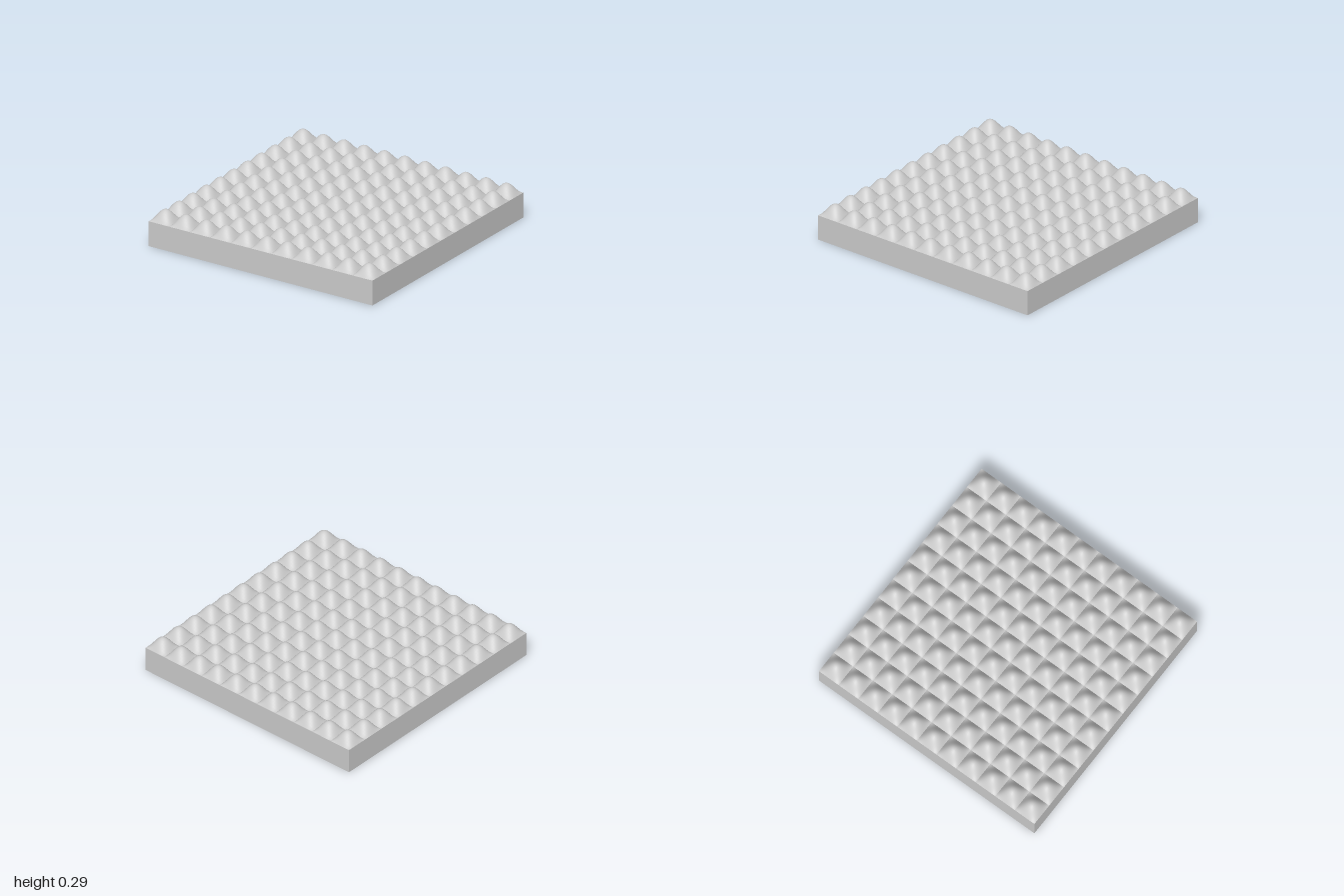
import * as THREE from 'three';

const COUNT = 11;          // bumps per side
const CELL = 2 / COUNT;    // width of one bump
const BASE = 0.2;          // slab height
const RISE = 0.088;        // bump height

// One rounded bump: a cosine dome that falls to zero along its square border
function bumpGeometry() {
  const geo = new THREE.PlaneGeometry(CELL, CELL, 14, 14).rotateX(-Math.PI / 2);
  const pos = geo.attributes.position;
  const wave = (v) => Math.cos((Math.PI * v) / CELL);
  for (let i = 0; i < pos.count; i++) {
    pos.setY(i, RISE * Math.max(0, wave(pos.getX(i)) * wave(pos.getZ(i))));
  }
  geo.computeVertexNormals();
  return geo;
}

export function createModel() {
  const model = new THREE.Group();
  model.name = 'bumpyPanel';
  const grey = new THREE.MeshStandardMaterial({ color: 0xcccccc });
  grey.name = 'light grey';

  // Flat slab
  const slab = new THREE.Mesh(new THREE.BoxGeometry(2, BASE, 2), grey);
  slab.name = 'slab';
  slab.position.y = BASE / 2;
  model.add(slab);

  // Grid of bumps, each with its own normals so the valleys stay sharp
  const bumps = new THREE.Group();
  bumps.name = 'bumps';
  const geo = bumpGeometry();
  for (let row = 0; row < COUNT; row++) {
    for (let col = 0; col < COUNT; col++) {
      const bump = new THREE.Mesh(geo, grey);
      bump.name = 'bump';
      bump.position.set((col + 0.5) * CELL - 1, BASE, (row + 0.5) * CELL - 1);
      bumps.add(bump);
    }
  }
  model.add(bumps);
  return model;
}
